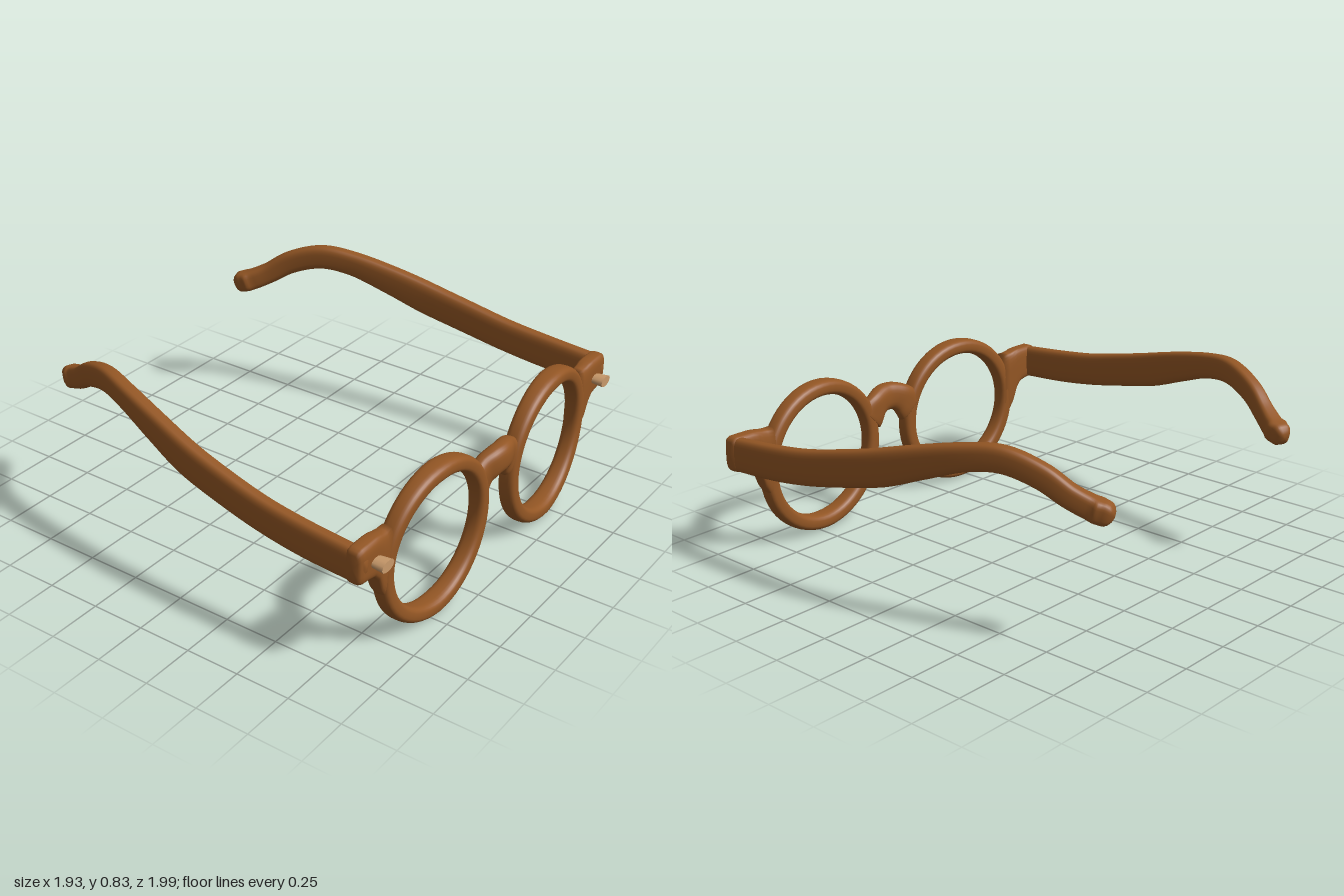
import * as THREE from 'three';

const V = (x, y, z) => new THREE.Vector3(x, y, z);
const UP = V(0, 1, 0);
const SIDES = 28;

// rounded-box outline around c, spanned by u (half size a) and v (half size b)
function section(c, u, v, a, b, power = 3) {
  const pts = [];
  for (let i = 0; i < SIDES; i++) {
    const t = (i / SIDES) * Math.PI * 2;
    const soft = (n) => Math.sign(n) * Math.pow(Math.abs(n), 2 / power);
    pts.push(c.clone().addScaledVector(u, a * soft(Math.cos(t))).addScaledVector(v, b * soft(Math.sin(t))));
  }
  return pts;
}

// skin over a row of sections; either a closed loop or capped at both ends
function loft(rings, closed = false) {
  const pts = rings.flat(), index = [], count = rings.length;
  for (let r = 0; r < (closed ? count : count - 1); r++) {
    for (let i = 0; i < SIDES; i++) {
      const j = (i + 1) % SIDES, s = ((r + 1) % count) * SIDES, o = r * SIDES;
      index.push(o + i, o + j, s + j, o + i, s + j, s + i);
    }
  }
  if (!closed) {
    for (const [r, flip] of [[0, true], [count - 1, false]]) {
      const mid = rings[r].reduce((m, p) => m.add(p), V(0, 0, 0)).divideScalar(SIDES);
      const m = pts.push(mid) - 1;
      for (let i = 0; i < SIDES; i++) {
        const a = r * SIDES + i, b = r * SIDES + ((i + 1) % SIDES);
        index.push(m, flip ? b : a, flip ? a : b);
      }
    }
  }
  // turn the faces outwards
  let volume = 0;
  for (let i = 0; i < index.length; i += 3) {
    volume += pts[index[i]].dot(pts[index[i + 1]].clone().cross(pts[index[i + 2]]));
  }
  if (volume < 0) index.reverse();
  const g = new THREE.BufferGeometry().setFromPoints(pts);
  g.setIndex(index);
  g.computeVertexNormals();
  return g;
}

// sweep along stations [x, y, z, half height, half width] with domed ends
function sweep(stations, steps, dome, power) {
  const curve = new THREE.CatmullRomCurve3(stations.map(([x, y, z]) => V(x, y, z)));
  const sizes = new THREE.CatmullRomCurve3(stations.map((s) => V(s[3], s[4], 0)));
  const ringAt = (t, shift, scale) => {
    const tan = curve.getTangent(t), size = sizes.getPoint(t);
    const side = tan.clone().cross(UP).normalize(), up = side.clone().cross(tan);
    const c = curve.getPoint(t).addScaledVector(tan, shift);
    return section(c, up, side, size.x * scale, size.y * scale, power);
  };
  const rings = [], angles = [1.4, 1.1, 0.75, 0.35];
  for (const a of angles) rings.push(ringAt(0, -dome * Math.sin(a), Math.cos(a)));
  for (let i = 0; i <= steps; i++) rings.push(ringAt(i / steps, 0, 1));
  for (const a of angles.slice().reverse()) rings.push(ringAt(1, dome * Math.sin(a), Math.cos(a)));
  return loft(rings);
}

// the front bows backwards towards its sides
const bow = (z) => 0.907 - 0.05 * (z / 0.9) ** 2;

function rimGeometry(side) {
  const rings = [], n = 56;
  for (let i = 0; i < n; i++) {
    const t = (i / n) * Math.PI * 2, dir = V(0, Math.sin(t), Math.cos(t));
    const z = side * 0.455 + 0.33 * Math.cos(t);
    const depth = 0.05 - 0.01 * Math.abs(Math.cos(t));
    rings.push(section(V(bow(z), 0.36 + 0.324 * Math.sin(t), z), dir, V(1, 0, 0), 0.036, depth, 2.8));
  }
  return loft(rings, true);
}

// block flaring out of the rim towards the hinge: [z, bottom, top, half depth]
function endPieceGeometry(side) {
  const rows = [
    [0.765, 0.25, 0.583, 0.036], [0.8, 0.265, 0.582, 0.038], [0.83, 0.31, 0.585, 0.04],
    [0.855, 0.38, 0.59, 0.042], [0.885, 0.413, 0.592, 0.042], [0.93, 0.424, 0.592, 0.042],
    [0.97, 0.428, 0.592, 0.041], [0.987, 0.434, 0.586, 0.037], [0.997, 0.45, 0.57, 0.026],
  ];
  return loft(rows.map(([z, lo, hi, d]) =>
    section(V(0.866, (lo + hi) / 2, side * z), UP, V(1, 0, 0), (hi - lo) / 2, d, 4)));
}

function armGeometry(side) {
  const stations = [
    [0.87, 0.507, 0.96, 0.077, 0.036], [0.6, 0.527, 0.956, 0.08, 0.036],
    [0.4, 0.553, 0.947, 0.079, 0.037], [0.2, 0.594, 0.932, 0.08, 0.038],
    [0, 0.641, 0.909, 0.081, 0.039], [-0.2, 0.703, 0.87, 0.071, 0.039],
    [-0.4, 0.758, 0.821, 0.058, 0.038], [-0.55, 0.771, 0.773, 0.057, 0.037],
    [-0.7, 0.722, 0.718, 0.054, 0.036], [-0.8, 0.655, 0.673, 0.05, 0.038],
    [-0.88, 0.613, 0.63, 0.05, 0.043], [-0.925, 0.598, 0.612, 0.05, 0.043],
  ].map(([x, y, z, h, w]) => [x, y, side * z, h, w]);
  return sweep(stations, 60, 0.04, 3.2);
}

export function createModel() {
  const group = new THREE.Group();
  const frame = new THREE.MeshStandardMaterial({ name: 'brown frame', color: 0x935624 });
  const pin = new THREE.MeshStandardMaterial({ name: 'tan pin', color: 0xc99a6b });
  const add = (name, geometry, material) => {
    const mesh = new THREE.Mesh(geometry, material);
    mesh.name = name;
    group.add(mesh);
    return mesh;
  };

  for (const side of [1, -1]) {
    const label = side > 0 ? 'left' : 'right';
    add(label + 'Rim', rimGeometry(side), frame);
    add(label + 'EndPiece', endPieceGeometry(side), frame);
    add(label + 'Arm', armGeometry(side), frame);

    // small flared rivet on the front of the hinge
    const rivet = add(label + 'Rivet', new THREE.CylinderGeometry(1, 0.8, 0.07, 10), pin);
    rivet.scale.set(0.025, 1, 0.042);
    rivet.rotation.z = -Math.PI / 2;
    rivet.position.set(0.927, 0.502, side * 0.895);
  }

  // arched bridge
  add('bridge', sweep([
    [0.9, 0.455, -0.135, 0.085, 0.036], [0.902, 0.5, -0.09, 0.072, 0.04],
    [0.915, 0.524, -0.04, 0.066, 0.045], [0.92, 0.528, 0, 0.066, 0.046],
    [0.915, 0.524, 0.04, 0.066, 0.045], [0.902, 0.5, 0.09, 0.072, 0.04],
    [0.9, 0.455, 0.135, 0.085, 0.036],
  ], 28, 0.01, 2.6), frame);

  return group;
}
